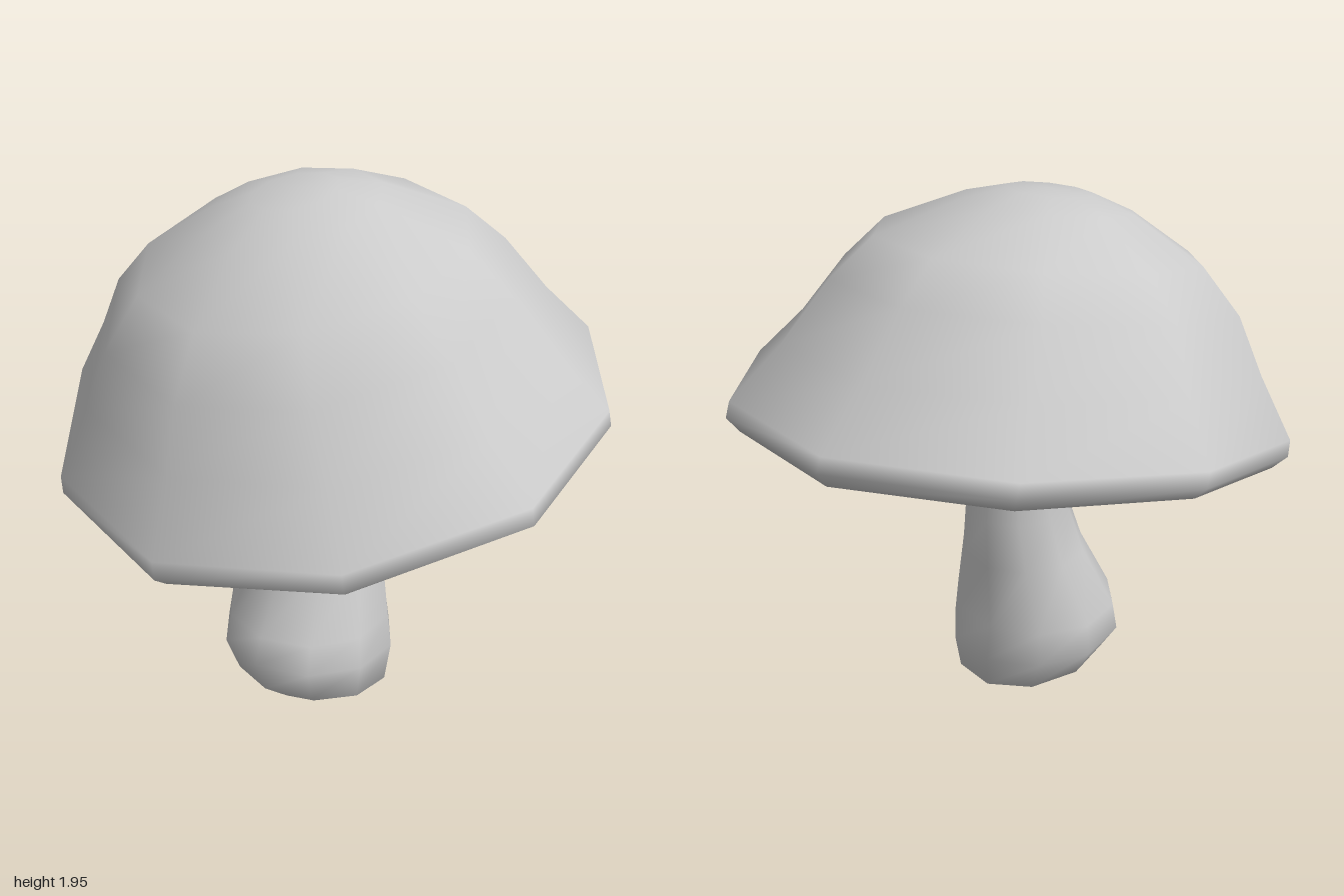
import * as THREE from 'three';

const SIDES = 10;

// Skin a closed smooth surface over rings [cx, cy, cz, rx, rz, tiltX, tiltZ, bow].
// Rings run from the lower pole to the upper pole; a radius of 0 makes a pole.
// The bow lifts the left and right sides; spokes scale the radius per side.
function skin(name, spokes, rings) {
  const pos = [], index = [], starts = [];
  for (const [cx, cy, cz, rx, rz, tx = 0, tz = 0, bow = 0] of rings) {
    starts.push(pos.length / 3);
    const n = rx === 0 ? 1 : SIDES;
    for (let i = 0; i < n; i++) {
      const a = (i / SIDES) * Math.PI * 2;
      const dx = Math.cos(a) * rx * spokes[i], dz = -Math.sin(a) * rz * spokes[i];
      pos.push(cx + dx, cy - tx * dx - tz * dz + bow * dx * dx, cz + dz);
    }
  }
  for (let r = 0; r < rings.length - 1; r++) {
    const lo = starts[r], hi = starts[r + 1];
    const loPole = rings[r][3] === 0, hiPole = rings[r + 1][3] === 0;
    for (let i = 0; i < SIDES; i++) {
      const j = (i + 1) % SIDES;
      if (loPole) index.push(lo, hi + j, hi + i);
      else if (hiPole) index.push(lo + i, lo + j, hi);
      else index.push(lo + i, lo + j, hi + j, lo + i, hi + j, hi + i);
    }
  }
  const geo = new THREE.BufferGeometry();
  geo.setAttribute('position', new THREE.Float32BufferAttribute(pos, 3));
  geo.setIndex(index);
  geo.computeVertexNormals();
  const mesh = new THREE.Mesh(geo, new THREE.MeshStandardMaterial({ color: 0xcccccc }));
  mesh.name = name;
  return mesh;
}

export function createModel() {
  const group = new THREE.Group();
  group.name = 'mushroom';

  // Bulbous stem, swelling forward at the foot
  group.add(skin('stem', Array(SIDES).fill(1), [
    [0.02, 0.0, 0.03, 0, 0],
    [0.025, 0.03, 0.125, 0.16, 0.185, 0, -0.08],
    [0.02, 0.105, 0.14, 0.275, 0.29, 0, -0.15],
    [-0.015, 0.23, 0.132, 0.32, 0.323, 0, -0.06],
    [-0.02, 0.35, 0.125, 0.31, 0.3],
    [-0.04, 0.6, 0.052, 0.23, 0.23],
    [-0.045, 0.78, 0.02, 0.193, 0.195],
    [-0.045, 1.05, 0.01, 0.183, 0.178],
    [-0.045, 1.46, 0.0, 0.18, 0.175],
    [-0.045, 1.48, 0.0, 0, 0],
  ]));

  // Tilted, slightly uneven cap: hollow underside, rounded rim, then the dome
  const unevenness = [1, 0.957, 0.985, 1.005, 1.01, 1, 1, 0.995, 1, 1.005];
  group.add(skin('cap', unevenness, [
    [-0.045, 1.46, 0.0, 0, 0],
    [-0.04, 1.45, 0.0, 0.23, 0.23, 0.05, 0.13],
    [-0.03, 1.395, 0.0, 0.32, 0.32, 0.05, 0.16],
    [-0.03, 1.37, 0.01, 0.45, 0.45, 0.05, 0.17],
    [-0.02, 1.29, 0.01, 0.6, 0.6, 0.05, 0.17, 0.06],
    [-0.01, 1.14, 0.0, 0.77, 0.77, 0.05, 0.17, 0.08],
    [0, 1.05, -0.005, 0.95, 0.95, 0.05, 0.175, 0.08],
    [0, 1.1, 0, 0.997, 0.997, 0.055, 0.175, 0.065],
    [0, 1.16, 0.01, 0.995, 0.99, 0.05, 0.17, 0.065],
    [-0.015, 1.37, 0.045, 0.845, 0.846, 0.06, 0.16, 0.05],
    [-0.025, 1.57, 0.095, 0.715, 0.72, 0.055, 0.19, 0.07],
    [-0.025, 1.73, 0.115, 0.565, 0.583, 0.03, 0.17, 0.06],
    [-0.06, 1.87, 0.135, 0.28, 0.32, 0.02, 0.18, 0.2],
    [-0.07, 1.925, 0.13, 0.14, 0.16, 0, 0.16],
    [-0.07, 1.935, 0.12, 0, 0],
  ]));
  return group;
}
